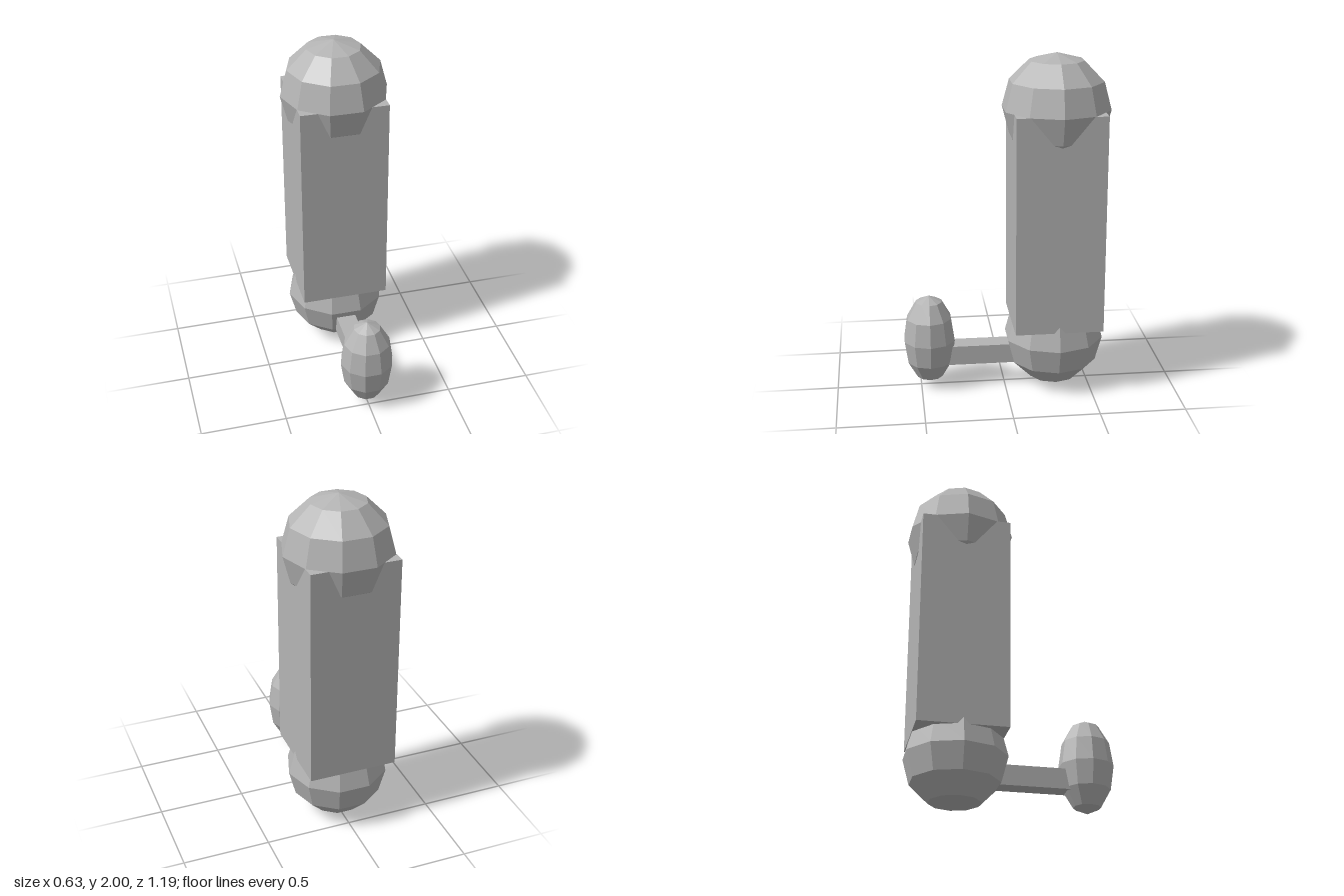
import * as THREE from 'three';

export function createModel() {
  const group = new THREE.Group();
  group.name = 'model';
  const grey = new THREE.MeshStandardMaterial({ color: 0xb4b4b4 });
  grey.name = 'grey';
  grey.flatShading = true;

  const add = (name, geometry, x, y, z) => {
    const mesh = new THREE.Mesh(geometry, grey);
    mesh.name = name;
    mesh.position.set(x, y, z);
    group.add(mesh);
    return mesh;
  };
  // Faceted ten-sided ball, optionally stretched upwards
  const ball = (radius, stretch = 1) =>
    new THREE.SphereGeometry(radius, 10, 6).scale(1, stretch, 1);

  // Tall square body with a ball at each end
  add('body', new THREE.BoxGeometry(0.514, 1.28, 0.514), 0, 1.045, -0.298);
  add('topBall', ball(0.315), 0, 1.685, -0.298);
  add('baseBall', ball(0.296), 0, 0.298, -0.298);

  // Arm reaching forwards to an upright oval knob
  add('arm', new THREE.BoxGeometry(0.117, 0.117, 0.56), 0, 0.203, 0.13);
  add('knob', ball(0.156, 0.275 / 0.156), 0, 0.299, 0.447);

  return group;
}
